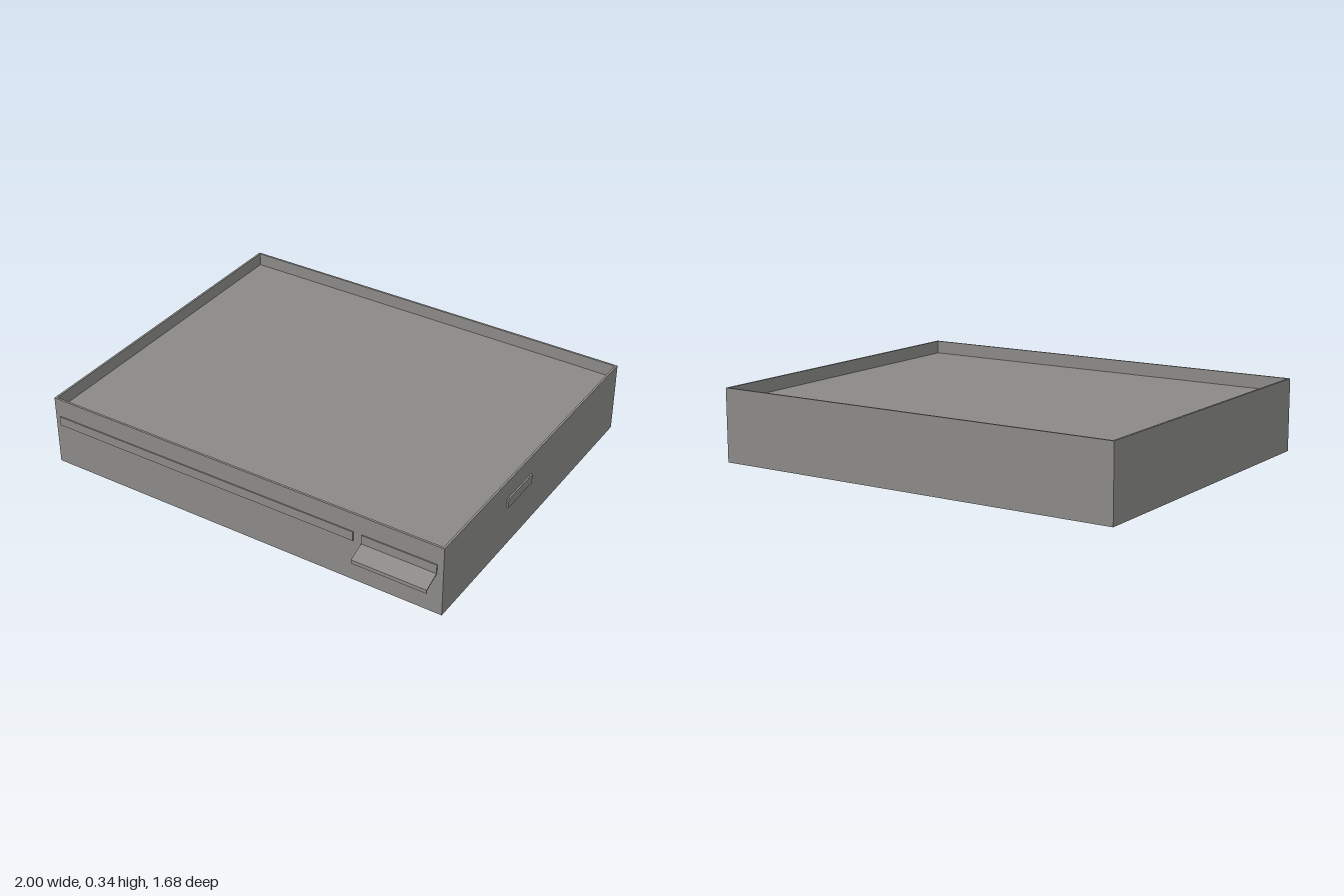
import * as THREE from 'three';

export function createModel() {
  const group = new THREE.Group();
  const grey = new THREE.MeshStandardMaterial({ color: 0x8a8986 });
  grey.name = 'warm grey';

  // Box given by its minimum and maximum corners
  function box(name, [x0, y0, z0], [x1, y1, z1]) {
    const mesh = new THREE.Mesh(new THREE.BoxGeometry(x1 - x0, y1 - y0, z1 - z0), grey);
    mesh.position.set((x0 + x1) / 2, (y0 + y1) / 2, (z0 + z1) / 2);
    mesh.name = name;
    group.add(mesh);
  }

  const left = -1, right = 0.992, back = -0.838, front = 0.757, height = 0.34, wall = 0.01;

  // Four thin walls, open above and below: an extruded frame standing upright
  const frame = new THREE.Shape();
  frame.moveTo(left, -front).lineTo(right, -front).lineTo(right, -back).lineTo(left, -back).closePath();
  const hole = new THREE.Path();
  hole.moveTo(left + wall, -front + wall).lineTo(left + wall, -back - wall)
    .lineTo(right - wall, -back - wall).lineTo(right - wall, -front + wall).closePath();
  frame.holes.push(hole);
  const walls = new THREE.Mesh(
    new THREE.ExtrudeGeometry(frame, { depth: height, bevelEnabled: false }).rotateX(-Math.PI / 2), grey);
  walls.name = 'walls';
  group.add(walls);

  // Recessed top panel
  box('topPanel', [left + wall, 0.27, back + wall], [right - wall, 0.278, front - wall]);

  // Thin plates on the front and on the side
  box('frontStrip', [-0.975, 0.205, front], [0.57, 0.25, front + 0.005]);
  box('handlePlate', [0.61, 0.205, front], [0.963, 0.25, front + 0.005]);
  box('sidePlate', [right, 0.205, 0.01], [1, 0.25, 0.225]);

  // Sloping pull handle with a lip turned down; profile drawn in z and y
  const profile = new THREE.Shape();
  profile.moveTo(front, 0.209).lineTo(front, 0.204).lineTo(0.834, 0.171)
    .lineTo(0.834, 0.157).lineTo(0.838, 0.157).lineTo(0.838, 0.175).closePath();
  const handle = new THREE.Mesh(
    new THREE.ExtrudeGeometry(profile, { depth: 0.353, bevelEnabled: false }).rotateY(-Math.PI / 2), grey);
  // the turn sends the profile to +z and the depth to -x
  handle.position.x = 0.963;
  handle.name = 'pullHandle';
  group.add(handle);

  return group;
}
